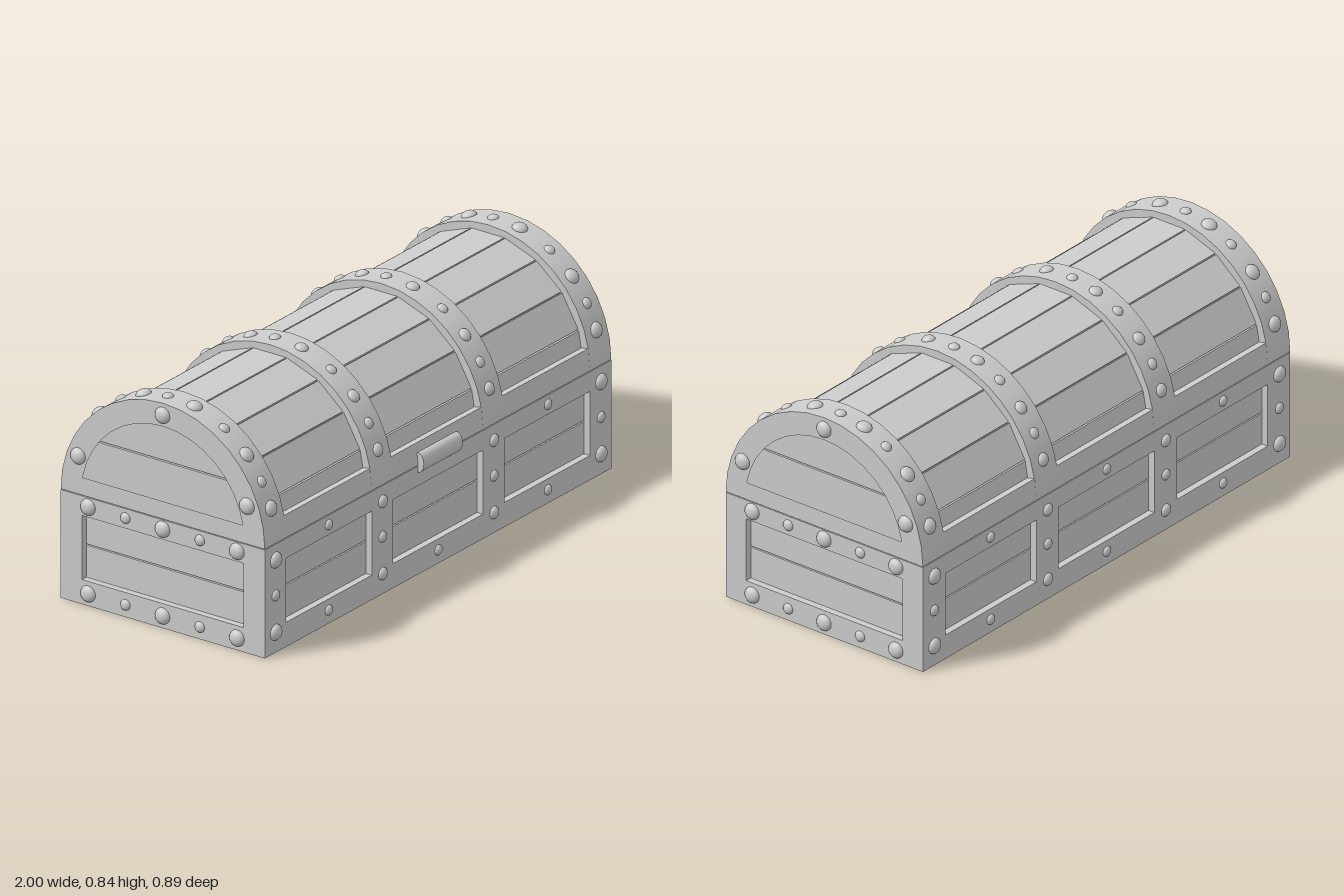
import * as THREE from 'three';
import { toCreasedNormals } from 'three/addons/utils/BufferGeometryUtils.js';

const W = 0.98, D = 0.425, H = 0.4, T = 0.025; // half width, half depth, lid spring line, frame thickness
const GAP = 0.005;
const material = new THREE.MeshStandardMaterial({ color: 0xcccccc });
const rad = THREE.MathUtils.degToRad;

export function createModel() {
  const chest = new THREE.Group();
  chest.name = 'chest';
  chest.position.z = -0.003;

  const add = (name, geometry, x = 0, y = 0, z = 0) => {
    const mesh = new THREE.Mesh(geometry, material);
    mesh.name = name;
    mesh.position.set(x, y, z);
    chest.add(mesh);
    return mesh;
  };
  const box = (name, w, h, d, x, y, z) => add(name, new THREE.BoxGeometry(w, h, d), x, y, z);

  // points on an arc; angles in degrees away from straight up
  const arc = (r, from, to) => {
    const n = Math.max(1, Math.round(Math.abs(to - from) / 10));
    return Array.from({ length: n + 1 }, (_, i) => {
      const a = rad(from + (to - from) * i / n);
      return new THREE.Vector2(r * Math.sin(a), r * Math.cos(a));
    });
  };
  const rect = (x0, y0, x1, y1) => [[x0, y0], [x1, y0], [x1, y1], [x0, y1]].map(p => new THREE.Vector2(...p));

  // flat outline with holes, extruded about its middle
  const slab = (outline, holes, depth) => {
    const shape = new THREE.Shape(outline);
    holes.forEach(h => shape.holes.push(new THREE.Path(h)));
    const g = new THREE.ExtrudeGeometry(shape, { depth, bevelEnabled: false });
    g.translate(0, 0, -depth / 2);
    return toCreasedNormals(g, 0.4);
  };
  // same, lying in the z-y plane and extruded along x
  const sideSlab = (outline, holes, depth) => slab(outline, holes, depth).rotateY(-Math.PI / 2);

  // inner bodies behind the planks
  box('baseCore', 1.89, 0.37, 0.77, 0, 0.205, 0);
  add('lidCore', sideSlab(arc(0.385, -90, 90), [], 1.89), 0, H, 0);

  // base frame and planks
  const top = H - 0.003;
  const windows = [[-0.86, -0.375], [-0.255, 0.255], [0.375, 0.86]];
  const longFrame = slab(rect(-W, 0, W, top), windows.map(([a, b]) => rect(a, 0.09, b, 0.325)), T);
  const endFrame = sideSlab(rect(-D + T, 0, D - T, top), [rect(-0.337, 0.09, 0.337, 0.325)], T);
  for (const s of [-1, 1]) {
    add('baseLongFrame', longFrame, 0, 0, s * (D - T / 2));
    add('baseEndFrame', endFrame, s * (W - T / 2), 0, 0);
    for (const y of [0.12, 0.3]) {
      box('baseLongPlank', 1.9, 0.18 - GAP, 0.02, 0, y, s * 0.39);
      box('baseEndPlank', 0.02, 0.18 - GAP, 0.79, s * 0.945, y, 0);
    }
  }
  for (let i = 0; i < 8; i++) box('bottomPlank', 1.91, 0.02, 0.1 - GAP, 0, 0.022, (i - 3.5) * 0.1);

  // lid planks, one every 20 degrees
  for (let a = -80; a <= 80; a += 20) {
    const t = rad(a), r = 0.387;
    const plank = box('lidPlank', 1.91, 0.016, 0.139 - GAP, 0, H + r * Math.cos(t), r * Math.sin(t));
    plank.rotation.x = t;
  }

  // lid bands and the rim between them
  const band = sideSlab([...arc(D, -90, 90), ...arc(D - 0.035, 90, -90)], [], 0.12);
  const bandXs = [-0.92, -0.315, 0.315, 0.92];
  bandXs.forEach(x => add('lidBand', band, x, H, 0));
  for (const [a, b] of windows) {
    for (const s of [-1, 1]) {
      const outline = [...arc(D, 79.15 * s, 90 * s), ...arc(D - 0.035, 90 * s, 79.15 * s)];
      add('lidRim', sideSlab(outline, [], b - a), (a + b) / 2, H, 0);
    }
  }

  // lid ends: arched frame with two planks behind the opening
  const archFrame = sideSlab(arc(0.396, -90, 90), [arc(0.34, -79, 79)], T);
  const lowerPlank = sideSlab([...arc(0.37, -90, -57.7), ...arc(0.37, 57.7, 90)], [], 0.02);
  const upperPlank = sideSlab(arc(0.37, -56.7, 56.7), [], 0.02);
  for (const s of [-1, 1]) {
    add('lidEndFrame', archFrame, s * (W - T / 2), H, 0);
    add('lidEndPlankLower', lowerPlank, s * 0.945, H, 0);
    add('lidEndPlankUpper', upperPlank, s * 0.945, H, 0);
  }

  // domed rivets
  const dome = new THREE.SphereGeometry(1, 16, 6, 0, Math.PI * 2, 0, Math.PI / 2);
  const up = new THREE.Vector3(0, 1, 0);
  const rivet = (r, x, y, z, nx, ny, nz) => {
    const m = add('rivet', dome, x, y, z);
    m.scale.set(r, r * 0.67, r);
    m.quaternion.setFromUnitVectors(up, new THREE.Vector3(nx, ny, nz).normalize());
  };
  for (const s of [-1, 1]) {
    for (const x of bandXs) {
      const outer = Math.abs(x) > 0.5;
      for (const y of [0.075, 0.34]) rivet(outer ? 0.029 : 0.023, x, y, s * D, 0, 0, s);
      rivet(0.02, x, 0.21, s * D, 0, 0, s);
    }
    for (const x of [-0.62, 0, 0.62]) {
      rivet(0.019, x, 0.05, s * D, 0, 0, s);
      if (x !== 0 || s < 0) rivet(0.019, x, 0.363, s * D, 0, 0, s);
    }
    for (const y of [0.045, 0.363]) {
      [-0.31, -0.155, 0, 0.155, 0.31].forEach((z, i) => rivet(i % 2 ? 0.02 : 0.03, s * W, y, z, s, 0, 0));
    }
    for (const a of [-68.5, 0, 68.5]) {
      rivet(0.03, s * W, H + 0.381 * Math.cos(rad(a)), 0.378 * Math.sin(rad(a)), s, 0, 0);
    }
  }
  for (const x of bandXs) {
    const large = Math.abs(x) > 0.5 ? 0.028 : 0.024;
    [73, 60, 46, 30, 12, -3, -17, -31, -47, -60, -73].forEach((a, i) => {
      const ny = Math.cos(rad(a)), nz = Math.sin(rad(a)), r = D - 0.002;
      rivet(i % 2 ? 0.02 : large, x, H + r * ny, r * nz, 0, ny, nz);
    });
  }

  // latch: a flattened rounded bar across the lid seam
  const latch = add('latch', new THREE.CylinderGeometry(1, 1, 0.22, 20).rotateZ(Math.PI / 2), -0.003, 0.41, D);
  latch.scale.set(1, 0.036, 0.024);

  return chest;
}
